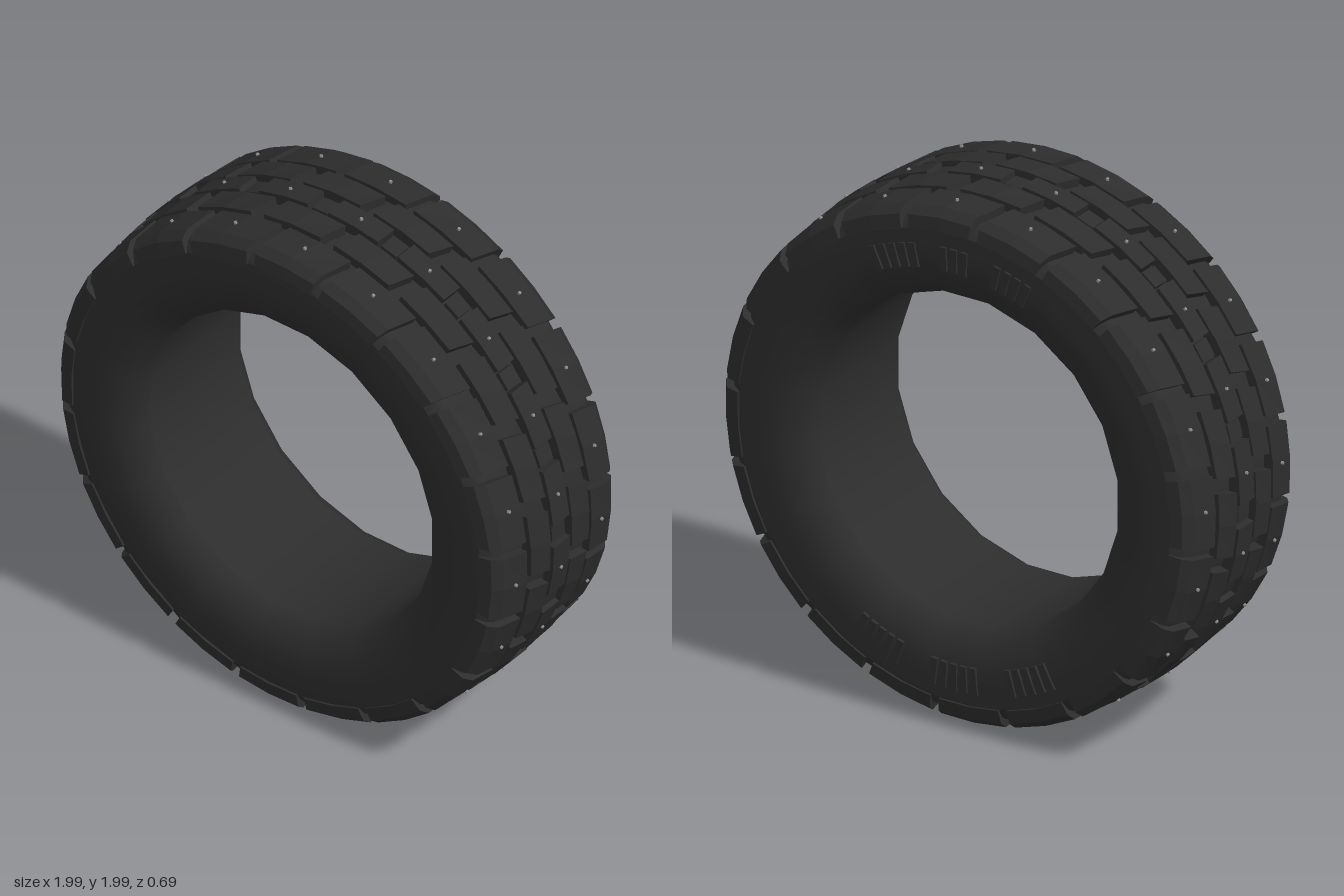
import * as THREE from 'three';

const SIDES = 20;
const STEP = (Math.PI * 2) / SIDES;
const DEG = Math.PI / 180;

const rubber = new THREE.MeshStandardMaterial({ color: 0x2d2d2d });
rubber.name = 'rubber';
const metal = new THREE.MeshStandardMaterial({ color: 0x8c8c90 });
metal.name = 'stud metal';

// Ring turned around the z axis from [radius, z] points
function ring(name, points) {
  const geo = new THREE.LatheGeometry(points.map(([r, z]) => new THREE.Vector2(r, z)), SIDES, STEP / 2);
  geo.rotateX(Math.PI / 2);
  const mesh = new THREE.Mesh(geo, rubber);
  mesh.name = name;
  return mesh;
}

// Tread block: a convex [z, radius] section swept along an arc, leaning with z
function blockGeometry(section, halfArc, lean) {
  const n = section.length;
  const arcs = 2;
  const zMid = section.reduce((sum, p) => sum + p[0], 0) / n;
  const pos = [];
  const index = [];
  for (let j = 0; j <= arcs; j++) {
    for (const [z, r] of section) {
      const a = halfArc * (2 * j / arcs - 1) - lean * (z - zMid);
      pos.push(r * Math.sin(a), r * Math.cos(a), z);
    }
  }
  for (let j = 0; j < arcs; j++) {
    for (let i = 0; i < n; i++) {
      const a = j * n + i, b = j * n + (i + 1) % n;
      index.push(a, b, a + n, b, b + n, a + n);
    }
  }
  const end = arcs * n;
  for (let i = 1; i < n - 1; i++) {
    index.push(0, i + 1, i);
    index.push(end, end + i, end + i + 1);
  }
  const geo = new THREE.BufferGeometry();
  geo.setAttribute('position', new THREE.Float32BufferAttribute(pos, 3));
  geo.setIndex(index);
  const flat = geo.toNonIndexed();
  flat.computeVertexNormals();
  return flat;
}

// Repeat one geometry around the wheel, clockwise from the top
function row(name, geo, material, offset) {
  const group = new THREE.Group();
  group.name = name;
  for (let i = 0; i < SIDES; i++) {
    const mesh = new THREE.Mesh(geo, material);
    mesh.name = name + 'Part';
    mesh.rotation.z = -(offset + i * STEP);
    group.add(mesh);
  }
  return group;
}

// Small hexagonal pin standing on the tread
function studGeometry(radius, z) {
  const geo = new THREE.CylinderGeometry(0.006, 0.008, 0.02, 6).toNonIndexed();
  geo.computeVertexNormals();
  geo.translate(0, radius, z);
  return geo;
}

// Fan of raised ribs on the back sidewall
function ribs(centre, count, radius, height) {
  const group = new THREE.Group();
  group.name = 'sidewallRibs';
  const geo = new THREE.BoxGeometry(0.026, height, 0.014);
  geo.translate(0, radius, -0.339);
  for (let i = 0; i < count; i++) {
    const rib = new THREE.Mesh(geo, rubber);
    rib.name = 'rib';
    rib.rotation.z = -(centre + (i - (count - 1) / 2) * 3) * DEG;
    group.add(rib);
  }
  return group;
}

export function createModel() {
  const model = new THREE.Group();
  model.name = 'studdedTyre';
  const tyre = new THREE.Group();
  tyre.name = 'tyre';
  tyre.position.y = 1;
  model.add(tyre);

  // Carcass: tread base, rounded sidewalls and inner wall
  tyre.add(ring('treadBase', [[0.9, -0.335], [0.935, -0.315], [0.95, -0.29], [0.957, -0.1],
    [0.957, 0.1], [0.95, 0.29], [0.935, 0.315], [0.9, 0.335]]));
  const side = [[0.9, 0.335], [0.82, 0.338], [0.76, 0.335], [0.71, 0.322], [0.67, 0.3], [0.643, 0.275], [0.63, 0.25]];
  tyre.add(ring('frontSidewall', side));
  tyre.add(ring('backSidewall', side.map(([r, z]) => [r, -z]).reverse()));
  tyre.add(ring('innerWall', [[0.63, 0.25], [0.63, -0.25]]));

  // Mirrored shoulder and intermediate block rows
  const shoulder = [[0.18, 0.93], [0.18, 0.981], [0.3, 0.972], [0.335, 0.945], [0.342, 0.895], [0.29, 0.89]];
  const middle = [[0.06, 0.94], [0.06, 0.99], [0.163, 0.984], [0.163, 0.94]];
  const mirror = (section) => section.map(([z, r]) => [-z, r]).reverse();
  for (const [label, s] of [['front', 1], ['back', -1]]) {
    const pick = (section) => (s > 0 ? section : mirror(section));
    tyre.add(row(label + 'ShoulderBlocks', blockGeometry(pick(shoulder), 7.9 * DEG, 0.25), rubber, 3 * DEG));
    tyre.add(row(label + 'MiddleBlocks', blockGeometry(pick(middle), 7.3 * DEG, 0.3), rubber, -3 * DEG));
    tyre.add(row(label + 'ShoulderStuds', studGeometry(0.974, s * 0.24), metal, 3 * DEG));
  }

  // Centre row with lower bridges between its blocks
  const centre = [[-0.045, 0.94], [-0.045, 0.992], [0.045, 0.992], [0.045, 0.94]];
  const bridge = [[-0.036, 0.94], [-0.036, 0.976], [0.036, 0.976], [0.036, 0.94]];
  tyre.add(row('centreBlocks', blockGeometry(centre, 6.4 * DEG, 0), rubber, 6.4 * DEG));
  tyre.add(row('centreBridges', blockGeometry(bridge, 2 * DEG, 0), rubber, 15.4 * DEG));
  tyre.add(row('centreStuds', studGeometry(0.989, 0), metal, 6.4 * DEG));

  // Raised rib groups on the back sidewall
  for (const [angle, count] of [[18, 5], [0, 3], [-17, 4]]) tyre.add(ribs(angle, count, 0.795, 0.09));
  for (const angle of [157, 180, 203]) tyre.add(ribs(angle, 5, 0.795, 0.1));

  return model;
}
